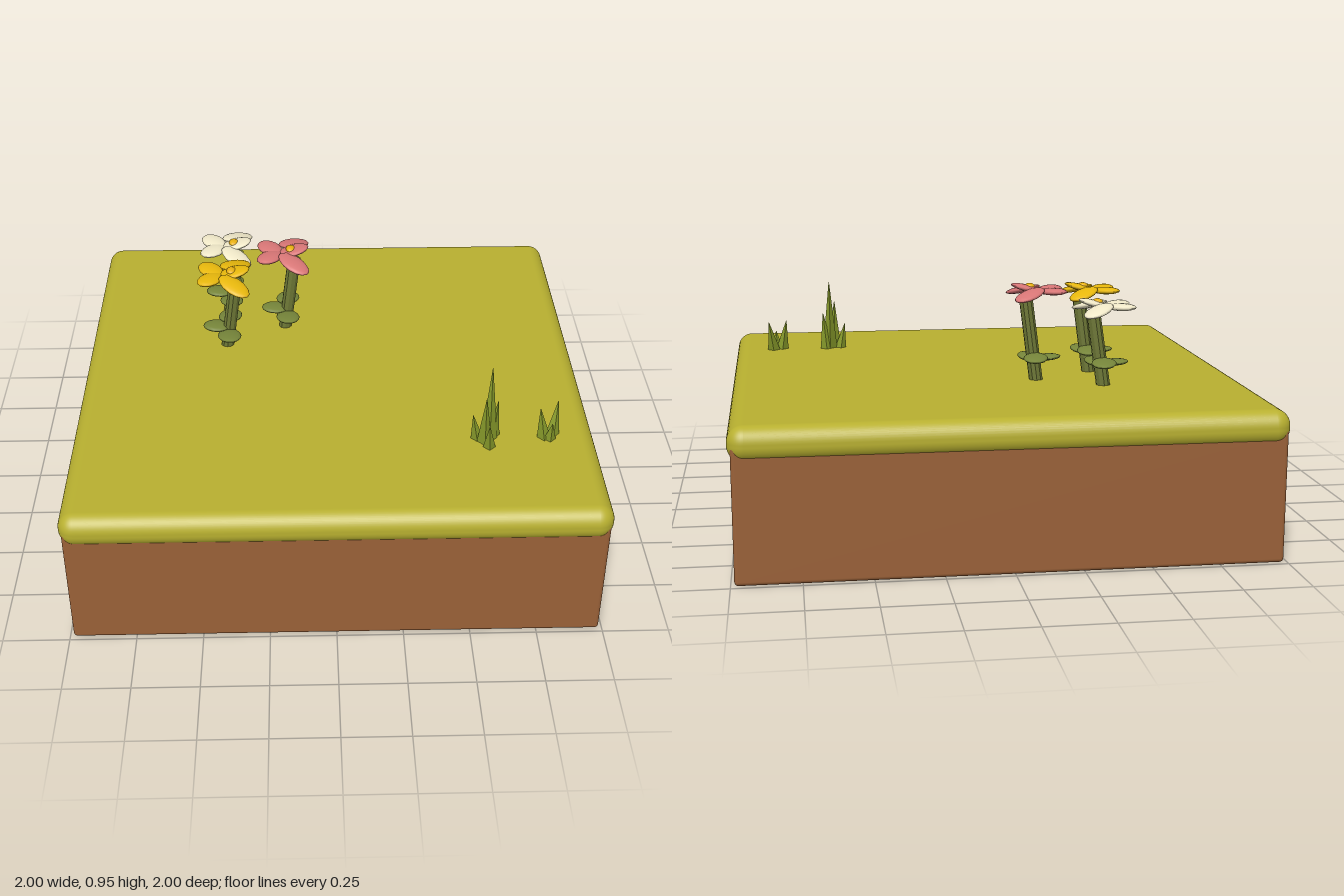
import * as THREE from 'three';
import { RoundedBoxGeometry } from 'three/addons/geometries/RoundedBoxGeometry.js';

const paint = (color, flatShading = false) => new THREE.MeshStandardMaterial({ color, flatShading });
const GRASS = paint(0xb8b030), SOIL = paint(0x9a6138), STEM = paint(0x6e7836, true);
const LEAF = paint(0x76853a), BLADE = paint(0x86992a, true), CENTRE = paint(0xe8b010);

const TOP = 0.565;
const UP = new THREE.Vector3(0, 1, 0);

function add(parent, name, geometry, material, x = 0, y = 0, z = 0) {
  const mesh = new THREE.Mesh(geometry, material);
  mesh.name = name;
  mesh.position.set(x, y, z);
  parent.add(mesh);
  return mesh;
}

// Tapered rod between two points
function rod(parent, name, a, b, r0, r1, sides, material) {
  const from = new THREE.Vector3(...a), to = new THREE.Vector3(...b);
  const dir = to.clone().sub(from);
  const geometry = new THREE.CylinderGeometry(r1, r0, dir.length(), sides);
  const mesh = add(parent, name, geometry, material, ...from.add(to).multiplyScalar(0.5));
  mesh.quaternion.setFromUnitVectors(UP, dir.normalize());
  return mesh;
}

// Flat oval petal or leaf: yaw turns its long axis, pitch raises its outer end
const oval = new THREE.SphereGeometry(1, 14, 8);
function petal(parent, name, material, pos, size, yaw, pitch) {
  const mesh = add(parent, name, oval, material, ...pos);
  mesh.scale.set(...size);
  mesh.rotation.set(0, yaw, pitch, 'YZX');
}

// Flower with its origin at the stem foot, leaning towards +x
function flower(name, color, x, z, height) {
  const group = new THREE.Group();
  group.name = name;
  group.position.set(x, TOP, z);
  rod(group, 'stem', [0, -0.02, 0], [0.045, height, 0], 0.027, 0.027, 10, STEM);

  const material = paint(color), y = height + 0.025;
  petal(group, 'frontPetal', material, [0.04, y + 0.012, 0], [0.066, 0.013, 0.048], 0, 0.25);
  for (const s of [-1, 1]) {
    petal(group, 'sidePetal', material, [0.043, y - 0.004, s * 0.085], [0.08, 0.014, 0.045], -s * 0.8, -0.24);
    petal(group, 'backPetal', material, [-0.055, y + 0.002, s * 0.038], [0.066, 0.014, 0.045], -s * 2.2, 0.04);
    // Leaves spreading sideways near the foot
    petal(group, 'leaf', LEAF, [0.015, 0.088 - s * 0.008, s * 0.065], [0.065, 0.012, 0.048], -s * 1.35, s * 0.12);
  }
  petal(group, 'backLeaf', LEAF, [-0.04, 0.088, 0], [0.055, 0.012, 0.045], Math.PI, 0.05);
  petal(group, 'flowerCentre', CENTRE, [0.03, y + 0.02, 0], [0.02, 0.012, 0.026], 0, 0);
  return group;
}

// Tuft of pointed blades, each given as foot x, foot z, tip x, tip y, tip z, radius
function tuft(name, blades) {
  const group = new THREE.Group();
  group.name = name;
  for (const [fx, fz, tx, ty, tz, r] of blades)
    rod(group, 'blade', [fx, TOP - 0.01, fz], [tx, ty, tz], r, 0.001, 4, BLADE);
  return group;
}

export function createModel() {
  const model = new THREE.Group();
  model.name = 'gardenTile';

  // Ground block with an overhanging turf cushion
  add(model, 'soil', new RoundedBoxGeometry(1.974, 0.5, 1.974, 3, 0.015), SOIL, 0, 0.25, 0);
  add(model, 'turf', new RoundedBoxGeometry(2, 0.13, 2, 6, 0.06), GRASS, 0, 0.5, 0);

  model.add(
    flower('yellowFlower', 0xe8b80c, -0.43, -0.155, 0.305),
    flower('whiteFlower', 0xf0e8c8, -0.43, -0.435, 0.28),
    flower('pinkFlower', 0xd87676, -0.19, -0.295, 0.325),
    tuft('tallGrassTuft', [
      [0.59, 0.53, 0.592, 0.86, 0.495, 0.032],
      [0.57, 0.55, 0.568, 0.765, 0.56, 0.03],
      [0.605, 0.51, 0.62, 0.72, 0.51, 0.028],
      [0.545, 0.53, 0.525, 0.67, 0.53, 0.026],
      [0.585, 0.585, 0.58, 0.67, 0.605, 0.026],
    ]),
    tuft('shortGrassTuft', [
      [0.80, 0.53, 0.78, 0.69, 0.52, 0.028],
      [0.835, 0.51, 0.855, 0.69, 0.47, 0.028],
      [0.82, 0.54, 0.825, 0.64, 0.55, 0.026],
    ]),
  );
  return model;
}
